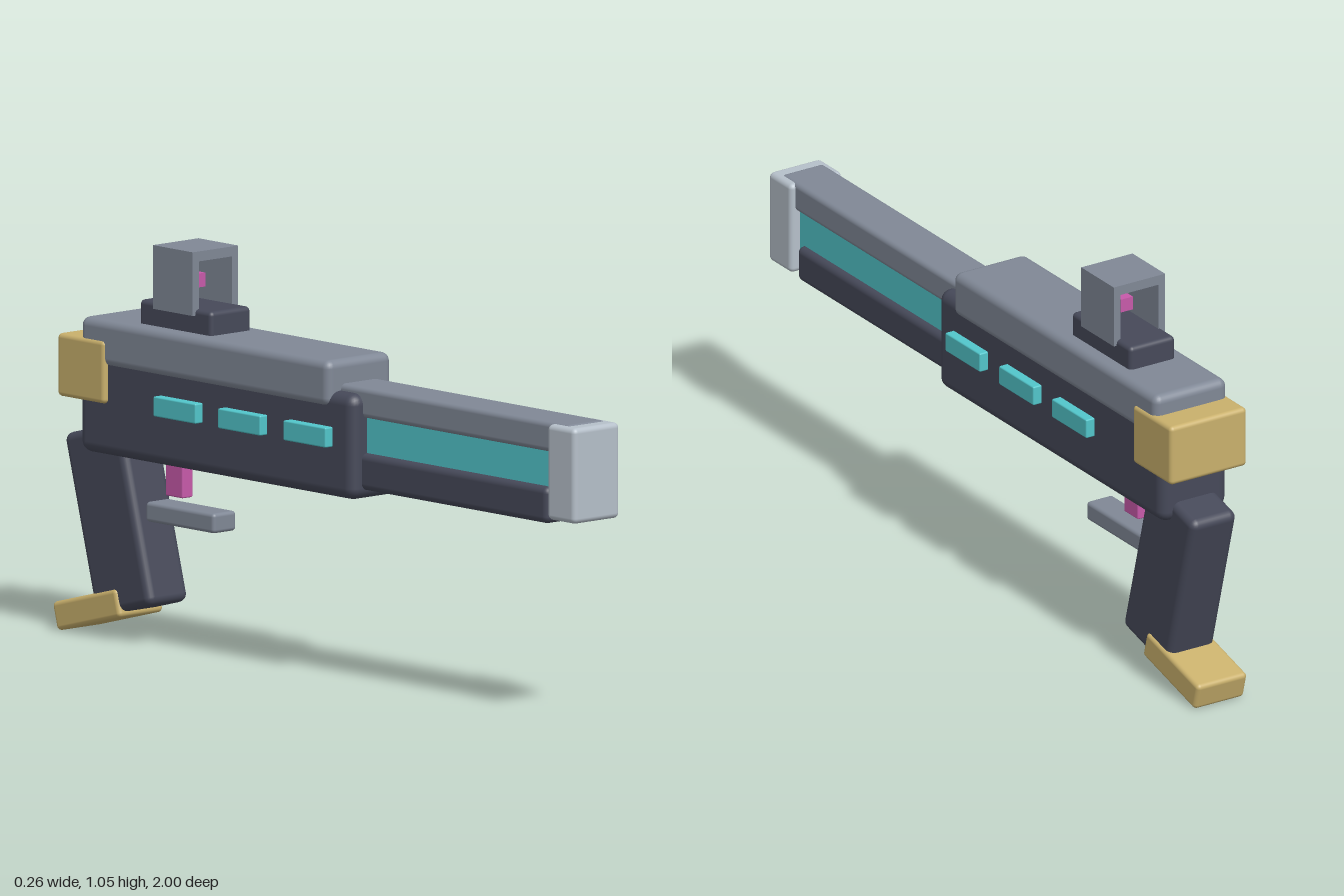
import * as THREE from 'three';
import { RoundedBoxGeometry } from 'three/addons/geometries/RoundedBoxGeometry.js';

const mat = (name, color) => {
  const m = new THREE.MeshStandardMaterial({ color });
  m.name = name;
  return m;
};

export function createModel() {
  const dark = mat('darkSlate', 0x464959);
  const grey = mat('steelGrey', 0x808896);
  const pale = mat('paleSilver', 0xb6c0ca);
  const gold = mat('gold', 0xc9b06c);
  const cyan = mat('cyanGlow', 0x52c6cb);
  const pink = mat('magenta', 0xc75aaa);

  const model = new THREE.Group();
  model.name = 'toyBlaster';

  // Box from extents: half width, [bottom, top], [back, front], edge radius
  function block(name, material, hw, [y0, y1], [z0, z1], r = 0, x = 0) {
    const size = [hw * 2, y1 - y0, z1 - z0];
    const geo = r > 0 ? new RoundedBoxGeometry(...size, 3, r) : new THREE.BoxGeometry(...size);
    const mesh = new THREE.Mesh(geo, material);
    mesh.name = name;
    mesh.position.set(x, (y0 + y1) / 2, (z0 + z1) / 2);
    model.add(mesh);
    return mesh;
  }

  // Receiver
  block('lowerReceiver', dark, 0.103, [0.495, 0.77], [-0.873, 0.177], 0.03);
  block('upperReceiver', grey, 0.112, [0.73, 0.85], [-0.857, 0.093], 0.022);
  block('rearCap', gold, 0.118, [0.633, 0.797], [-0.937, -0.757], 0.012);

  // Barrel: upper rail, glowing core, lower rail and muzzle
  block('upperBarrel', grey, 0.066, [0.708, 0.787], [0, 0.965], 0.014);
  block('barrelCore', cyan, 0.052, [0.6, 0.725], [0, 0.93]);
  block('lowerBarrel', dark, 0.07, [0.52, 0.616], [0, 0.884], 0.018);
  block('muzzle', pale, 0.08, [0.535, 0.784], [0.893, 1.0], 0.014);

  // Three light panels on each side
  for (const side of [-1, 1]) {
    for (const z of [0.02, -0.23, -0.477]) {
      block('sidePanel', cyan, 0.018, [0.628, 0.68], [z - 0.081, z + 0.081], 0.004, side * 0.11);
    }
  }

  // Sight: base, open square frame and aiming dot
  block('sightBase', dark, 0.07, [0.835, 0.912], [-0.675, -0.4], 0.012);
  const frame = new THREE.Shape();
  frame.moveTo(-0.079, 0.896).lineTo(0.079, 0.896).lineTo(0.079, 1.062).lineTo(-0.079, 1.062).closePath();
  const hole = new THREE.Path();
  hole.moveTo(-0.058, 0.909).lineTo(-0.058, 1.036).lineTo(0.058, 1.036).lineTo(0.058, 0.909).closePath();
  frame.holes.push(hole);
  const sight = new THREE.Mesh(new THREE.ExtrudeGeometry(frame, { depth: 0.152, bevelEnabled: false }), grey);
  sight.name = 'sightFrame';
  sight.position.z = -0.612;
  model.add(sight);
  block('sightDot', pink, 0.018, [0.955, 0.991], [-0.554, -0.518]);

  // Trigger and guard
  block('trigger', pink, 0.018, [0.4, 0.52], [-0.632, -0.566], 0.004);
  block('triggerGuard', grey, 0.04, [0.328, 0.38], [-0.685, -0.423], 0.01);

  // Raked grip and its foot
  const rake = -Math.PI / 12;
  block('grip', dark, 0.07, [0.081, 0.561], [-0.912, -0.69], 0.022).rotation.x = rake;
  block('gripFoot', gold, 0.077, [0.041, 0.116], [-0.998, -0.745], 0.012).rotation.x = rake;

  return model;
}
